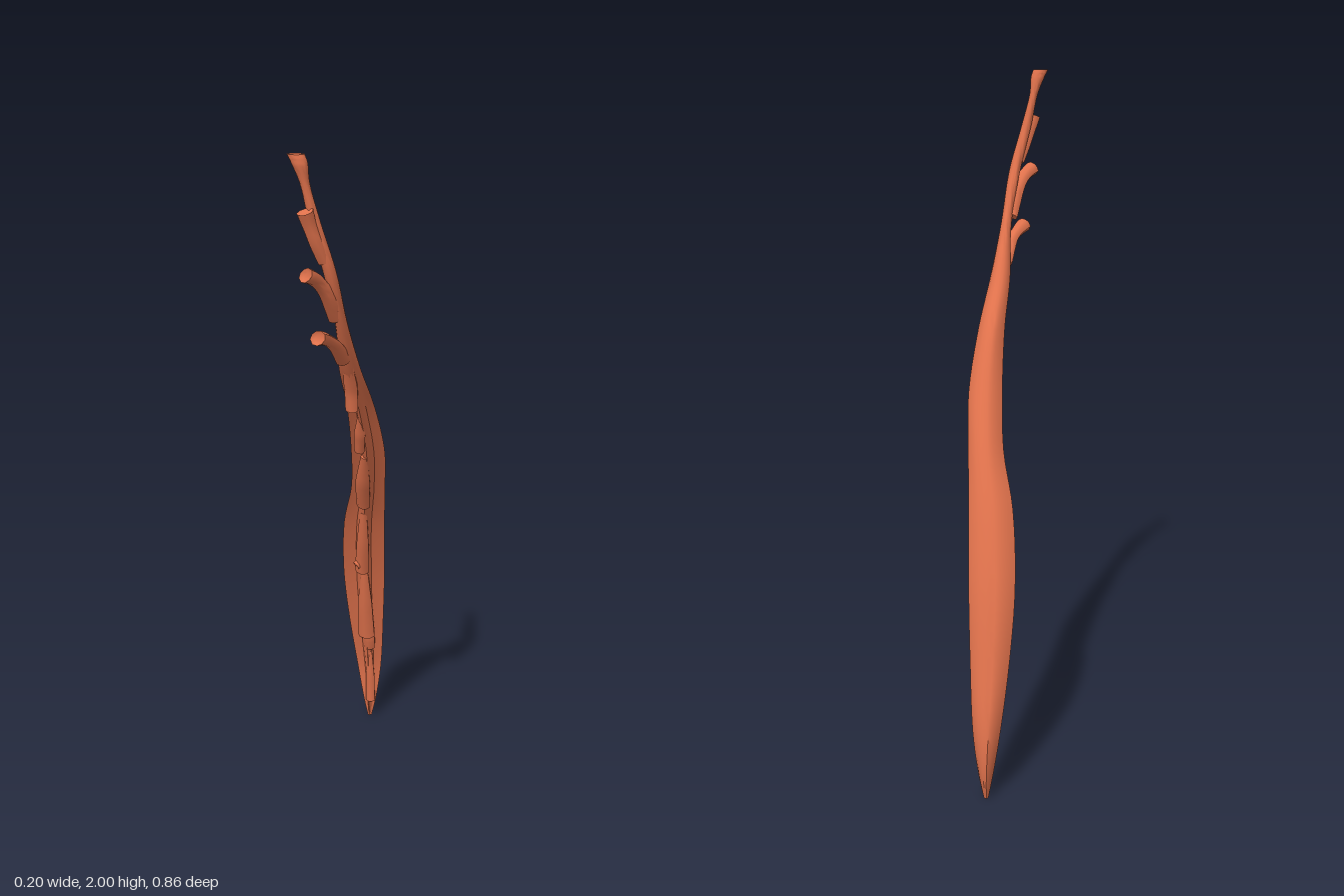
import * as THREE from 'three';
import { toCreasedNormals } from 'three/addons/utils/BufferGeometryUtils.js';

const material = new THREE.MeshStandardMaterial({ color: 0xe0724c, side: THREE.DoubleSide });

// Closed skin over rings of equal size, each counter-clockwise about the path
function loft(rings, name) {
  const n = rings[0].length, pos = [], index = [];
  rings.forEach(r => r.forEach(p => pos.push(p.x, p.y, p.z)));
  for (let j = 0; j < rings.length - 1; j++) {
    for (let i = 0; i < n; i++) {
      const a = j * n + i, b = j * n + (i + 1) % n;
      index.push(a, b, a + n, b, b + n, a + n);
    }
  }
  const last = (rings.length - 1) * n;
  for (let i = 1; i < n - 1; i++) {
    index.push(0, i + 1, i, last, last + i, last + i + 1);
  }
  const geo = new THREE.BufferGeometry();
  geo.setAttribute('position', new THREE.Float32BufferAttribute(pos, 3));
  geo.setIndex(index);
  const mesh = new THREE.Mesh(toCreasedNormals(geo, 0.8), material);
  mesh.name = name;
  return mesh;
}

// Blade stations: y, x min, x max, z front, z back
const stations = [
  [0, 0.005, 0.018, -0.395, -0.405],
  [0.07, -0.008, 0.033, -0.37, -0.424],
  [0.2, -0.028, 0.05, -0.357, -0.422],
  [0.4, -0.05, 0.062, -0.312, -0.372],
  [0.6, -0.06, 0.072, -0.25, -0.312],
  [0.8, -0.046, 0.08, -0.166, -0.23],
  [0.95, -0.012, 0.09, -0.08, -0.152],
  [1.1, 0.0, 0.098, 0.01, -0.062],
  [1.27, 0.003, 0.08, 0.125, 0.045],
  [1.4, -0.004, 0.056, 0.222, 0.15],
  [1.55, 0.0, 0.032, 0.308, 0.25],
  [1.7, -0.02, 0.014, 0.372, 0.325],
  [1.83, -0.05, -0.02, 0.398, 0.362],
  [1.93, -0.07, -0.045, 0.41, 0.375],
  [1.98, -0.09, -0.048, 0.42, 0.38],
  [2, -0.1, -0.055, 0.418, 0.385]
];

// Leaf section with a front rib: across (-1..1), depth (0 back, 1 front)
const leaf = [
  [-1, 0.62], [-0.65, 0.6], [-0.36, 0.64], [-0.22, 0.9], [0, 1], [0.22, 0.9], [0.36, 0.6], [0.65, 0.52],
  [1, 0.5], [0.8, 0.26], [0.5, 0.09], [0.2, 0.01], [0, 0.03], [-0.2, 0.01], [-0.5, 0.14], [-0.8, 0.38]
];

function makeBlade() {
  const xs = new THREE.CatmullRomCurve3(stations.map(s => new THREE.Vector3(s[1], s[0], s[2])));
  const zs = new THREE.CatmullRomCurve3(stations.map(s => new THREE.Vector3(s[3], s[0], s[4])));
  const rings = [], steps = 75;
  for (let j = 0; j <= steps; j++) {
    const a = xs.getPoint(j / steps), b = zs.getPoint(j / steps);
    const round = THREE.MathUtils.smoothstep(a.y, 1.2, 1.55);
    rings.push(leaf.map(([u, v], i) => {
      const t = Math.PI + i / leaf.length * Math.PI * 2;
      const across = THREE.MathUtils.lerp(u, Math.cos(t), round);
      const depth = THREE.MathUtils.lerp(v, 0.5 - 0.5 * Math.sin(t), round);
      return new THREE.Vector3(
        (a.x + a.z) / 2 + across * (a.z - a.x) / 2, a.y,
        THREE.MathUtils.lerp(b.z, b.x, depth));
    }));
  }
  return loft(rings, 'blade');
}

// Tapering branch through points [x, y, z, radius], with a hollowed cut end
function makeBranch(points, name) {
  const curve = new THREE.CatmullRomCurve3(points.map(p => new THREE.Vector3(p[0], p[1], p[2])));
  const steps = 10, sides = 9, frames = curve.computeFrenetFrames(steps), rings = [];
  const ring = (j, r, push) => {
    const c = curve.getPointAt(j / steps).addScaledVector(frames.tangents[j], push);
    return Array.from({ length: sides }, (_, i) => {
      const t = i / sides * Math.PI * 2;
      const wobble = r * (1 + 0.1 * Math.sin(t * 2 + 1));
      return c.clone().addScaledVector(frames.normals[j], Math.cos(t) * wobble)
        .addScaledVector(frames.binormals[j], Math.sin(t) * wobble);
    });
  };
  for (let j = 0; j <= steps; j++) {
    const f = j / steps * (points.length - 1), k = Math.min(Math.floor(f), points.length - 2);
    rings.push(ring(j, THREE.MathUtils.lerp(points[k][3], points[k + 1][3], f - k), 0));
  }
  rings.push(ring(steps, points.at(-1)[3] * 0.6, -0.006));
  return loft(rings, name);
}

export function createModel() {
  const group = new THREE.Group();
  group.name = 'curvedBranch';
  group.add(makeBlade());

  // Short twigs near the top, flared at the tip
  const twigs = [
    [[0.015, 1.44, 0.235, 0.02], [0.0, 1.5, 0.305, 0.018], [-0.018, 1.525, 0.35, 0.015], [-0.03, 1.535, 0.382, 0.021]],
    [[0.005, 1.57, 0.3, 0.02], [-0.012, 1.645, 0.35, 0.02], [-0.035, 1.69, 0.39, 0.016], [-0.053, 1.705, 0.42, 0.02]],
    [[-0.015, 1.73, 0.368, 0.015], [-0.035, 1.79, 0.392, 0.016], [-0.048, 1.835, 0.405, 0.016], [-0.054, 1.862, 0.414, 0.02]]
  ];
  twigs.forEach((t, i) => group.add(makeBranch(t, 'twig' + (i + 1))));

  // Broken stubs hanging in steps down the front rib
  const stubs = [
    [[0.025, 1.43, 0.222, 0.012], [0.027, 1.34, 0.172, 0.018], [0.027, 1.275, 0.157, 0.017]],
    [[0.04, 1.23, 0.08, 0.008], [0.034, 1.16, 0.045, 0.016], [0.03, 1.108, 0.021, 0.014]],
    [[0.04, 1.08, -0.012, 0.01], [0.027, 0.96, -0.08, 0.021], [0.024, 0.885, -0.123, 0.02]],
    [[0.02, 0.85, -0.15, 0.01], [0.012, 0.72, -0.198, 0.018], [0.005, 0.615, -0.24, 0.022]],
    [[0.01, 0.61, -0.255, 0.01], [0.008, 0.46, -0.298, 0.022], [0.008, 0.345, -0.328, 0.027]],
    [[0.012, 0.36, -0.335, 0.018], [0.014, 0.3, -0.352, 0.02], [0.014, 0.285, -0.357, 0.018]],
    [[0.015, 0.27, -0.355, 0.008], [0.016, 0.15, -0.373, 0.014], [0.016, 0.07, -0.381, 0.015]]
  ];
  stubs.forEach((s, i) => group.add(makeBranch(s, 'stub' + (i + 1))));

  // Small knot beside the rib
  group.add(makeBranch([[0.012, 0.66, -0.235, 0.012], [-0.002, 0.648, -0.222, 0.012], [-0.012, 0.64, -0.215, 0.013]], 'knot'));
  return group;
}
